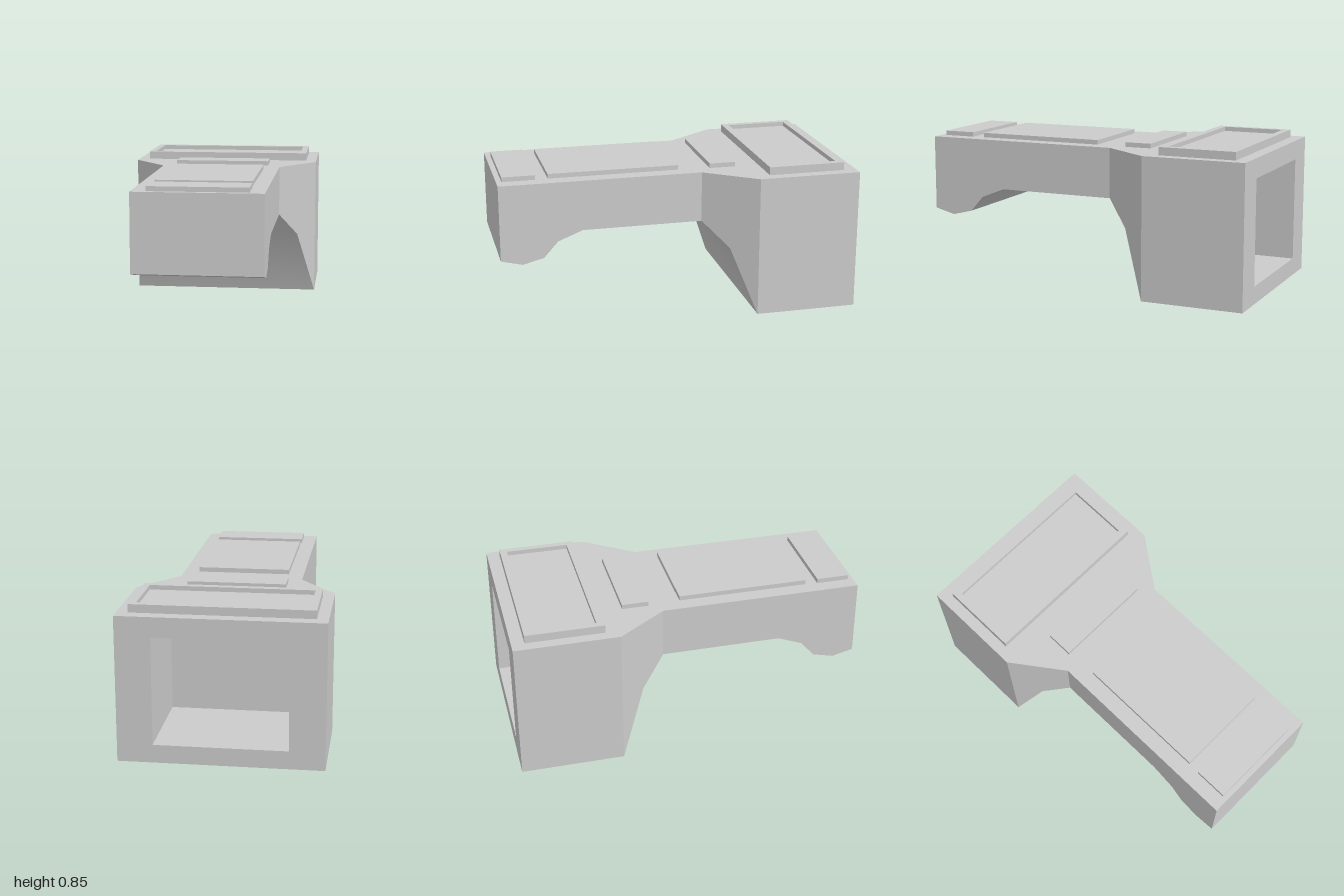
import * as THREE from 'three';
import { toCreasedNormals } from 'three/addons/utils/BufferGeometryUtils.js';

const grey = new THREE.MeshStandardMaterial({ color: 0xcccccc });

const TOP = 0.8; // height of the flat top deck

function add(group, name, geometry) {
  const mesh = new THREE.Mesh(geometry, grey);
  mesh.name = name;
  group.add(mesh);
  return mesh;
}

// Closed loft through rectangular rings [z, halfWidth, bottom, top], front to back
function loftRings(rings) {
  const positions = [];
  const index = [];
  rings.forEach(([z, w, y0, y1]) => {
    positions.push(-w, y0, z, w, y0, z, w, y1, z, -w, y1, z);
  });
  index.push(0, 1, 2, 0, 2, 3);
  for (let r = 0; r < rings.length - 1; r++) {
    for (let k = 0; k < 4; k++) {
      const a = r * 4 + k;
      const b = r * 4 + (k + 1) % 4;
      index.push(a, a + 4, b + 4, a, b + 4, b);
    }
  }
  const e = (rings.length - 1) * 4;
  index.push(e, e + 2, e + 1, e, e + 3, e + 2);
  const geometry = new THREE.BufferGeometry();
  geometry.setAttribute('position', new THREE.Float32BufferAttribute(positions, 3));
  geometry.setIndex(index);
  return toCreasedNormals(geometry, THREE.MathUtils.degToRad(30));
}

// Flat raised pad on the deck
function pad(group, name, halfWidth, zBack, zFront, height) {
  const geometry = new THREE.BoxGeometry(halfWidth * 2, height, zFront - zBack);
  add(group, name, geometry).position.set(0, TOP + height / 2, (zBack + zFront) / 2);
}

function rectangle(PathType, w, h) {
  return new PathType([
    new THREE.Vector2(-w, -h), new THREE.Vector2(w, -h),
    new THREE.Vector2(w, h), new THREE.Vector2(-w, h),
  ]);
}

export function createModel() {
  const model = new THREE.Group();
  model.name = 'model';

  // Body: front lip, slim arm, flared shoulder, deep block and its rear opening
  add(model, 'body', loftRings([
    [1, 0.348, 0.37, TOP],
    [0.88, 0.348, 0.34, TOP],
    [0.76, 0.348, 0.37, TOP],
    [0.68, 0.348, 0.46, TOP],
    [0.54, 0.348, 0.515, TOP],
    [-0.14, 0.348, 0.515, TOP],
    [-0.28, 0.45, 0.375, TOP],
    [-0.42, 0.552, 0, TOP],
    [-1, 0.552, 0, TOP],
    [-1, 0.36, 0.1, 0.69],
    [-0.42, 0.36, 0.1, 0.69],
  ]));

  // Raised pads along the deck
  pad(model, 'frontPad', 0.267, 0.785, 0.97, 0.026);
  pad(model, 'middlePad', 0.262, -0.025, 0.715, 0.026);
  pad(model, 'shoulderPad', 0.275, -0.355, -0.205, 0.026);

  // Rear panel: rim with a sunken floor
  const rim = rectangle(THREE.Shape, 0.49, 0.218);
  rim.holes.push(rectangle(THREE.Path, 0.453, 0.177));
  const rimGeometry = new THREE.ExtrudeGeometry(rim, { depth: 0.045, bevelEnabled: false });
  rimGeometry.rotateX(-Math.PI / 2);
  add(model, 'rearPanelRim', rimGeometry).position.set(0, TOP, -0.71);
  pad(model, 'rearPanelFloor', 0.453, -0.887, -0.533, 0.02);

  return model;
}
